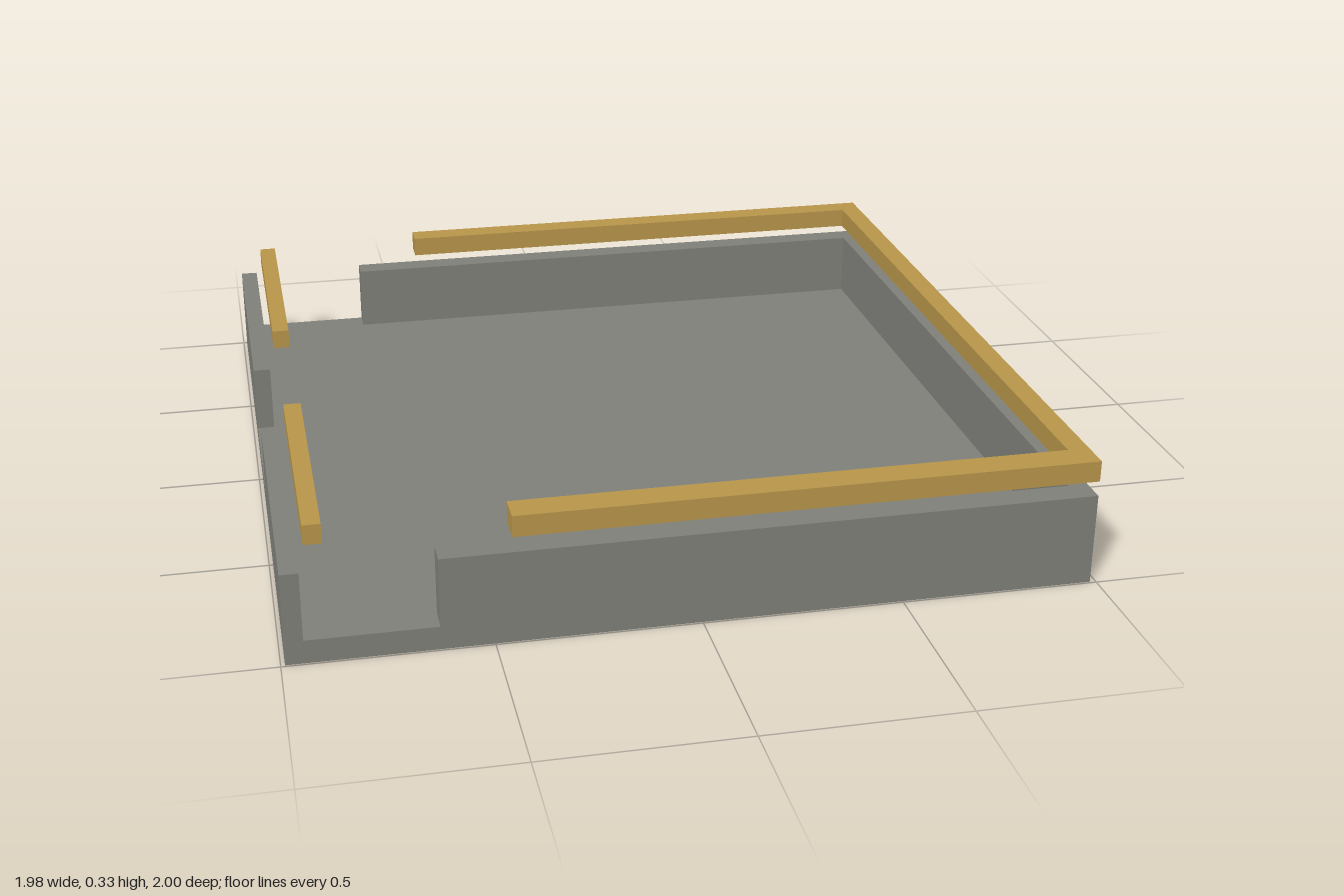
import * as THREE from 'three';

export function createModel() {
  const model = new THREE.Group();
  const stone = new THREE.MeshStandardMaterial({ color: 0x80807a });
  stone.name = 'grey stone';
  const wood = new THREE.MeshStandardMaterial({ color: 0xb8964a });
  wood.name = 'golden wood';

  // Box given by its minimum and maximum corners
  function box(name, material, [x0, y0, z0], [x1, y1, z1]) {
    const mesh = new THREE.Mesh(new THREE.BoxGeometry(x1 - x0, y1 - y0, z1 - z0), material);
    mesh.position.set((x0 + x1) / 2, (y0 + y1) / 2, (z0 + z1) / 2);
    mesh.name = name;
    model.add(mesh);
  }

  // U-shaped band open towards -x, extruded upwards from y0 to y1
  function band(name, material, y0, y1, outer, inner) {
    const shape = new THREE.Shape([
      [outer.x0, -outer.z1], [outer.x1, -outer.z1], [outer.x1, -outer.z0], [outer.x0, -outer.z0],
      [outer.x0, -inner.z0], [inner.x1, -inner.z0], [inner.x1, -inner.z1], [outer.x0, -inner.z1],
    ].map(([x, y]) => new THREE.Vector2(x, y)));
    const geometry = new THREE.ExtrudeGeometry(shape, { depth: y1 - y0, bevelEnabled: false });
    geometry.rotateX(-Math.PI / 2).translate(0, y0, 0);
    const mesh = new THREE.Mesh(geometry, material);
    mesh.name = name;
    model.add(mesh);
  }

  // Floor slab and the wall around three sides
  box('floor', stone, [-0.99, 0, -0.99], [0.985, 0.06, 0.995]);
  band('parapetWall', stone, 0.06, 0.237,
    { x0: -0.628, x1: 0.985, z0: -0.99, z1: 0.995 },
    { x1: 0.935, z0: -0.927, z1: 0.927 });

  // Handrail floating above that wall
  band('handrail', wood, 0.276, 0.33,
    { x0: -0.455, x1: 0.985, z0: -1, z1: 0.995 },
    { x1: 0.93, z0: -0.935, z1: 0.917 });

  // Short walls and rails on either side of the entrance gap
  for (const [side, wall, rail] of [
    ['back', [-0.99, -0.207], [-0.935, -0.25]],
    ['front', [0.2, 0.995], [0.257, 0.945]],
  ]) {
    box(side + 'EntranceWall', stone, [-0.99, 0.06, wall[0]], [-0.945, 0.235, wall[1]]);
    box(side + 'EntranceRail', wood, [-0.93, 0.28, rail[0]], [-0.886, 0.33, rail[1]]);
  }

  return model;
}
